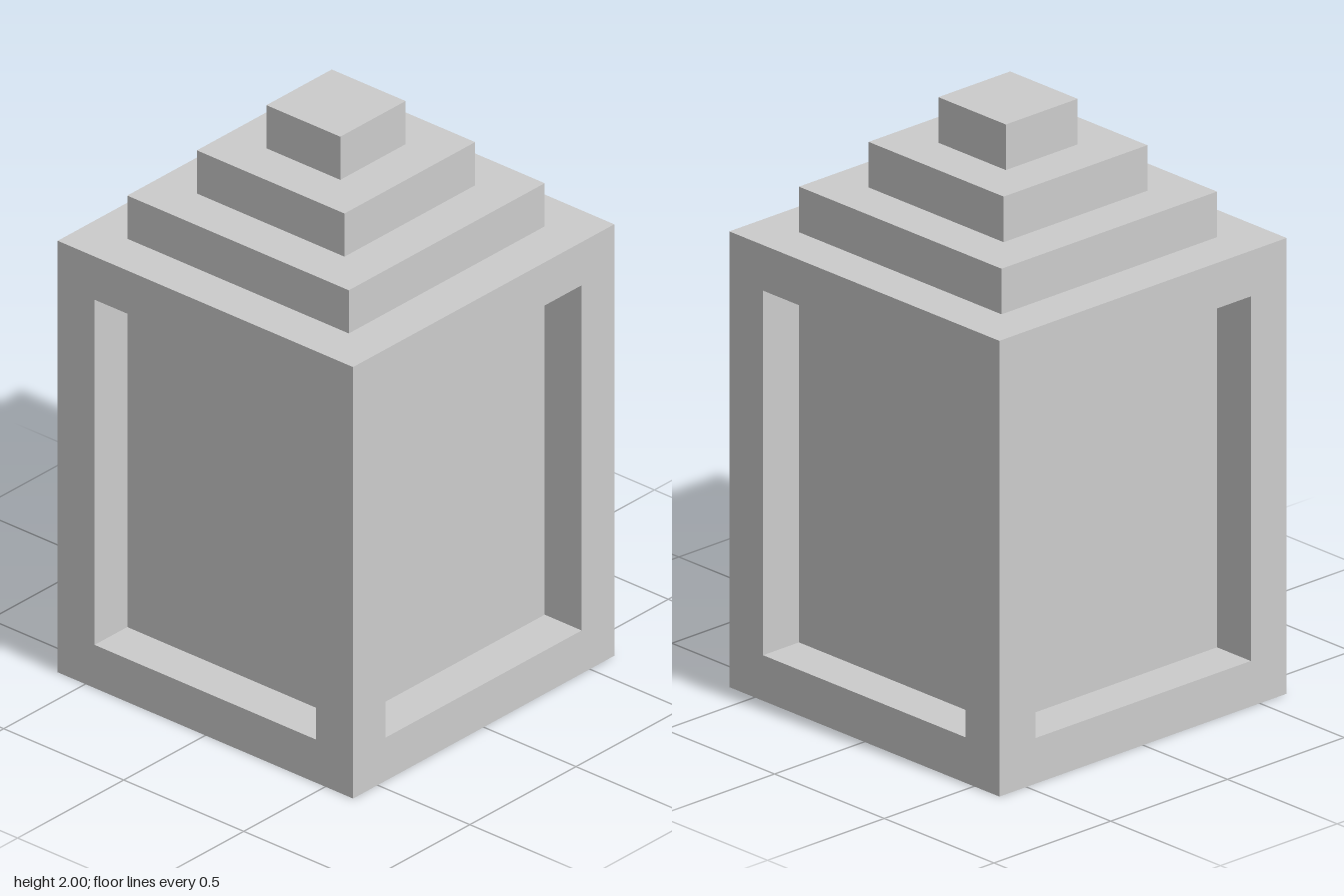
import * as THREE from 'three';

const U = 2 / 13; // the whole lantern is laid out on this module
const Q = Math.PI / 2;
const material = new THREE.MeshStandardMaterial({ color: 0xcccccc, flatShading: true });

function add(parent, name, geometry, x = 0, y = 0, z = 0, rx = 0, ry = 0) {
  const mesh = new THREE.Mesh(geometry, material);
  mesh.name = name;
  mesh.position.set(x * U, y * U, z * U);
  mesh.rotation.set(rx, ry, 0);
  parent.add(mesh);
  return mesh;
}

const plane = (w, h) => new THREE.PlaneGeometry(w * U, h * U);

// rectangle outline centred on x, from y0 to y1
function rectangle(Type, halfWidth, y0, y1) {
  const w = halfWidth * U;
  return new Type([
    new THREE.Vector2(-w, y0 * U), new THREE.Vector2(w, y0 * U),
    new THREE.Vector2(w, y1 * U), new THREE.Vector2(-w, y1 * U),
  ]);
}

// one side of the body: frame, four reveals and the sunken panel
function createSide() {
  const side = new THREE.Group();
  side.name = 'bodySide';
  const frame = rectangle(THREE.Shape, 4, 0, 10);
  frame.holes.push(rectangle(THREE.Path, 3, 1, 9));
  add(side, 'frame', new THREE.ShapeGeometry(frame), 0, 0, 4);
  add(side, 'sill', plane(6, 1), 0, 1, 3.5, -Q);
  add(side, 'lintel', plane(6, 1), 0, 9, 3.5, Q);
  for (const s of [-1, 1]) add(side, 'jamb', plane(1, 8), s * 3, 5, 3.5, 0, -s * Q);
  add(side, 'panel', plane(6, 8), 0, 5, 3);
  return side;
}

export function createModel() {
  const model = new THREE.Group();
  model.name = 'lantern';

  // four matching sides
  for (let i = 0; i < 4; i++) {
    const side = createSide();
    side.rotation.y = i * Q;
    model.add(side);
  }

  // closed base and shoulder
  add(model, 'base', plane(8, 8), 0, 0, 0, Q);
  add(model, 'shoulder', plane(8, 8), 0, 10, 0, -Q);

  // stepped roof
  [6, 4, 2].forEach((width, i) => {
    add(model, 'roofTier', new THREE.BoxGeometry(width * U, U, width * U), 0, 10.5 + i, 0);
  });

  return model;
}
